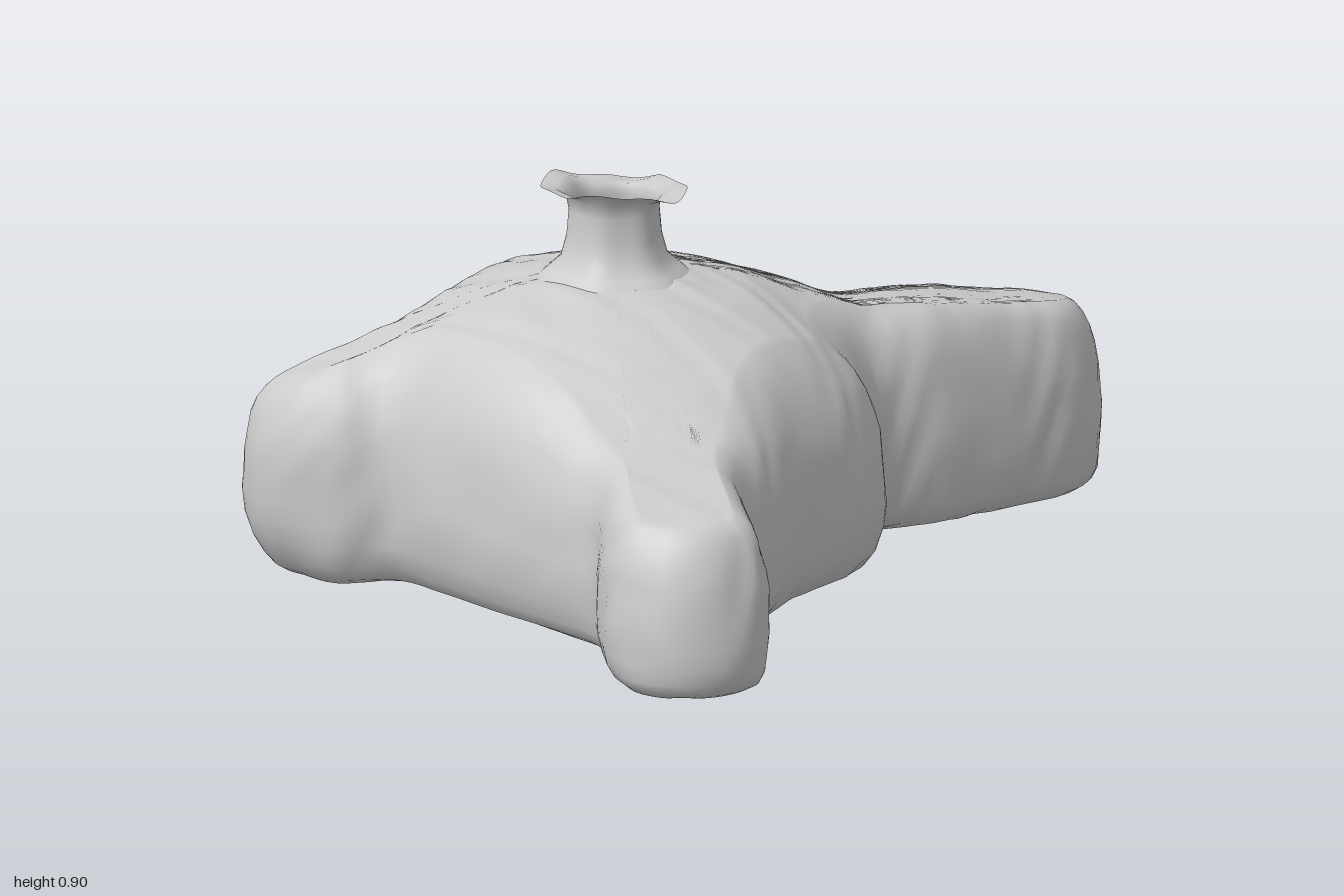
import * as THREE from 'three';

const CX = -0.16, CZ = -0.165; // axis of the neck
const SEG = 280;

// Plan outline, clockwise from the back lobe: back, left arm, front arm, right arm
const OUTLINE = [
  [-.12, -.97], [0, -.92], [.09, -.81], [.14, -.68], [.2, -.57], [.3, -.56], [.45, -.57], [.65, -.63],
  [.9, -.69], [.97, -.66], [1, -.57], [.95, -.47], [.8, -.38], [.62, -.28], [.46, -.2], [.43, -.12],
  [.43, 0], [.36, .14], [.22, .29], [.12, .44], [.05, .56], [.05, .75], [.04, .88], [-.04, .95],
  [-.13, .97], [-.23, .945], [-.30, .87], [-.32, .72], [-.32, .56], [-.4, .45], [-.53, .29], [-.64, .13],
  [-.7, .04], [-.82, .01], [-.93, -.05], [-.99, -.14], [-.99, -.24], [-.92, -.3], [-.8, -.32],
  [-.7, -.35], [-.55, -.5], [-.43, -.66], [-.34, -.82], [-.23, -.93],
];

// Height of the top surface by distance from the neck axis
const CROWN = [[0, .69], [.17, .67], [.3, .635], [.45, .575], [.6, .51], [.8, .47], [1.2, .4]];
const smooth = THREE.MathUtils.smoothstep;

function topHeight(x, z) {
  const d = Math.hypot(x - CX, z - CZ);
  let k = 0;
  while (k < CROWN.length - 2 && d > CROWN[k + 1][0]) k++;
  const [d0, y0] = CROWN[k], [d1, y1] = CROWN[k + 1];
  let y = y0 + (y1 - y0) * Math.min(1, (d - d0) / (d1 - d0));
  y -= .05 * smooth(z, .25, .5);                                  // front arm is lower
  y += .03 * smooth(x, .3, .6);                                   // left arm is higher
  y -= .05 * smooth(-x, .75, 1);                                  // right arm slopes down
  y -= .05 * smooth(x, .12, .4) * smooth(z, -.3, -.05);           // left flank rolls off
  y -= .1 * smooth(-z, .55, .95) * (1 - smooth(x, .1, .3));       // back lobe drops away
  return y;
}

// Small hand-worked dents
const dents = (x, y, z) =>
  .003 * Math.sin(17 * x + 3 * Math.sin(19 * y)) * Math.sin(15 * z + 2 * Math.sin(23 * y + 7 * x)) +
  .002 * Math.sin(29 * y + 5 * Math.sin(13 * x - 11 * z));

// Closed skin through rings of points, each ring running clockwise from above
function loft(rings) {
  const n = rings[0].length, pos = [], idx = [];
  rings.forEach((ring) => ring.forEach((p) => pos.push(...p)));
  for (let i = 0; i < rings.length - 1; i++) {
    for (let j = 0; j < n; j++) {
      const a = i * n + j, b = i * n + (j + 1) % n;
      idx.push(a, a + n, b, b, a + n, b + n);
    }
  }
  const g = new THREE.BufferGeometry();
  g.setAttribute('position', new THREE.Float32BufferAttribute(pos, 3));
  g.setIndex(idx);
  g.computeVertexNormals();
  return g;
}

function bodyGeometry() {
  const curve = new THREE.CatmullRomCurve3(
    OUTLINE.map(([x, z]) => new THREE.Vector3(x, 0, z)), true, 'centripetal');
  const edge = [];
  for (let j = 0; j < SEG; j++) {
    const p = curve.getPointAt(j / SEG), t = curve.getTangentAt(j / SEG);
    // the back lobe is undercut, and it and the flanks are rounder than the arms
    const lobe = smooth(-p.z, .5, .85) * (1 - smooth(p.x, .1, .25));
    const round = 1.65 - .9 * smooth(Math.hypot(p.x - CX, p.z - CZ), .5, .8) + .9 * lobe;
    const lean = .04 * smooth(p.z, .8, .95);      // sloping tip of the front arm
    const undercut = Math.max(lobe, .5 * smooth(-p.x, .8, .95));
    edge.push({ x: p.x, z: p.z, nx: t.z, nz: -t.x, undercut, round, lean });
  }
  // one ring: inset from the outline, share of the top height, scale towards the axis
  const ring = (inset, share, scale, under) => {
    let last = -Infinity;
    return edge.map((e) => {
      const d = inset * e.round + under * e.undercut + e.lean * share;
      let x = e.x - e.nx * d, z = e.z - e.nz * d;
      if (share === 0 || share === 1) {
        // keep the caps from folding: the angle about the axis may only grow
        let a = Math.atan2(z - CZ, x - CX);
        if (a < last - Math.PI) a += 2 * Math.PI;
        last = Math.max(a, last);
        const r = Math.hypot(x - CX, z - CZ) * scale;
        x = CX + r * Math.cos(last);
        z = CZ + r * Math.sin(last);
      }
      const y = share * topHeight(x, z), w = dents(x, y, z);
      // dents push the wall sideways, and the top and underside up or down
      if (share === 1) return [x, y + w, z];
      if (share === 0) return [x, Math.max(0, w), z];
      return [x + e.nx * w, y, z + e.nz * w];
    });
  };
  const rings = [];
  // nearly flat underside
  for (const s of [.001, .2, .4, .6, .8, .9, 1]) rings.push(ring(.06, 0, s, .1));
  // rounded wall
  for (const [inset, share, under] of [
    [.033, .035, .1], [.014, .1, .08], [.004, .2, .05], [0, .32, .025], [0, .44, .008], [.003, .56, 0],
    [.008, .67, 0], [.018, .77, 0], [.033, .86, 0], [.052, .93, 0], [.075, .975, 0],
  ]) rings.push(ring(inset, share, 1, under));
  // domed top
  for (let k = 0; k <= 24; k++) rings.push(ring(.1, 1, Math.max(.001, 1 - k / 24), 0));
  return loft(rings);
}

// Hollow neck with an uneven flared lip
function neckGeometry() {
  const profile = [[.19, .645], [.145, .685], [.118, .71], [.105, .76], [.1, .82], [.105, .85], [.128, .864], [.16, .868]];
  const N = 48;
  return loft(profile.map(([r, y], i) => Array.from({ length: N }, (_, j) => {
    const a = j / N * Math.PI * 2; // clockwise from above
    const c = Math.cos(a), s = Math.sin(a);
    const lip = smooth(i, 4, 7);
    const rr = r * (1 + .03 * Math.cos(6 * a + .4) + lip * .04 * Math.sin(4 * a));
    const wave = lip * (.014 * s - .01 * c + .01 * Math.sin(3 * a + 2.6) + .005 * Math.sin(7 * a));
    return [CX + rr * c, y + wave, CZ + rr * s];
  })));
}

export function createModel() {
  const group = new THREE.Group();
  const add = (name, geometry, side) => {
    const mesh = new THREE.Mesh(geometry, new THREE.MeshStandardMaterial({ color: 0xcccccc, side }));
    mesh.name = name;
    group.add(mesh);
  };
  add('fourArmedBody', bodyGeometry(), THREE.FrontSide);
  add('flaredNeck', neckGeometry(), THREE.DoubleSide);
  return group;
}
